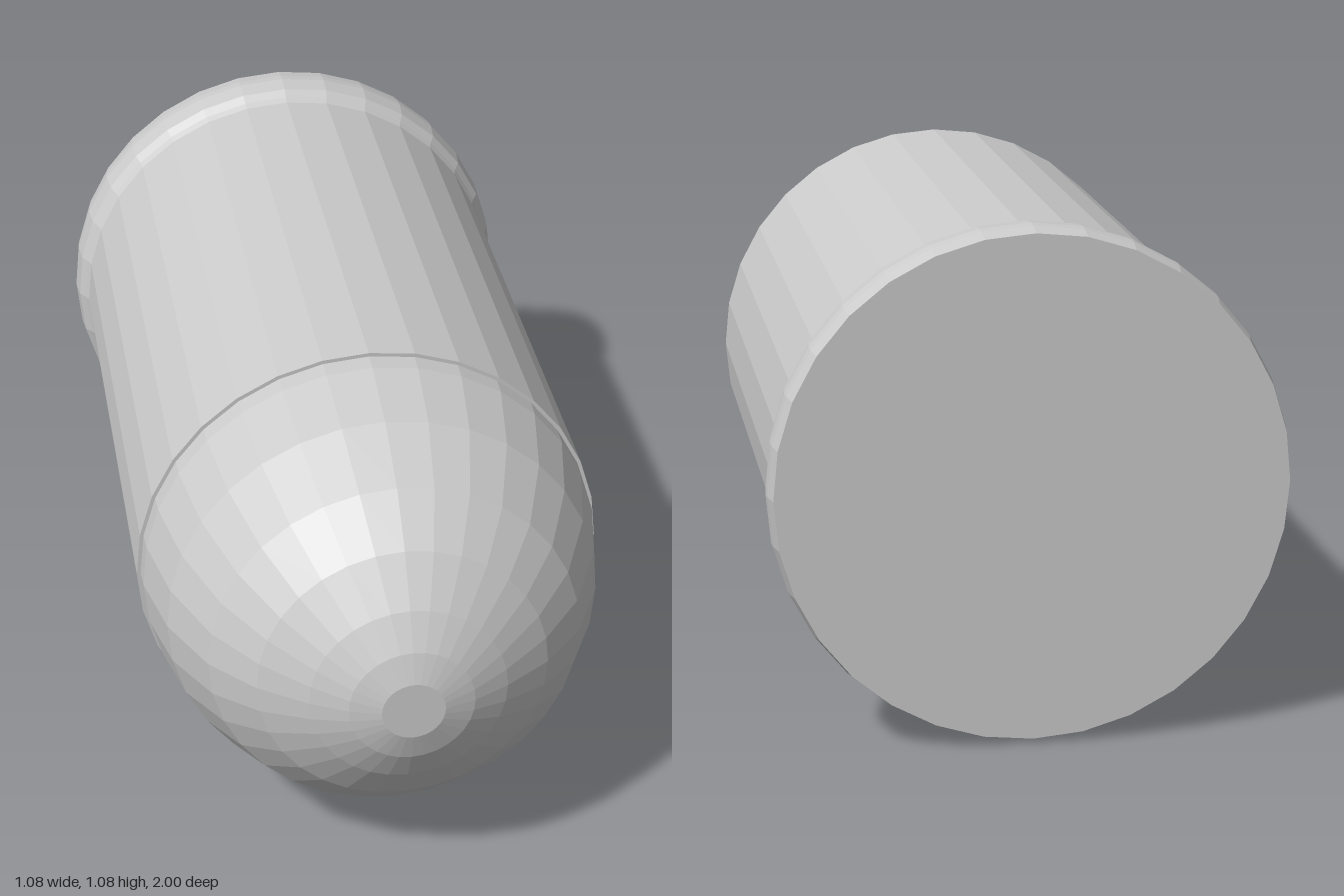
import * as THREE from 'three';

const SIDES = 32;
const AXIS_HEIGHT = 0.54;

// Revolves [radius, z] pairs, listed from back to front, around the z axis.
function turnedPart(name, profile, material) {
  const points = profile.map(([r, z]) => new THREE.Vector2(r, z));
  const geometry = new THREE.LatheGeometry(points, SIDES).rotateX(Math.PI / 2);
  const mesh = new THREE.Mesh(geometry, material);
  mesh.name = name;
  mesh.position.y = AXIS_HEIGHT;
  return mesh;
}

export function createModel() {
  const group = new THREE.Group();
  group.name = 'cartridge';
  const grey = new THREE.MeshStandardMaterial({ color: 0xcccccc, flatShading: true });

  // Closed base with a bulging rim, straight wall and a thin front lip
  group.add(turnedPart('casing', [
    [0, -1], [0.53, -1], [0.538, -0.96], [0.54, -0.935], [0.535, -0.885],
    [0.522, -0.865], [0.515, -0.85], [0.515, 0.41], [0.5, 0.41],
  ], grey));

  // Rounded nose with a small flat tip, seated in the casing
  group.add(turnedPart('bullet', [
    [0.507, 0.405], [0.505, 0.455], [0.47, 0.62], [0.4, 0.77], [0.31, 0.87],
    [0.21, 0.94], [0.133, 0.98], [0.067, 1], [0, 1],
  ], grey));

  return group;
}
